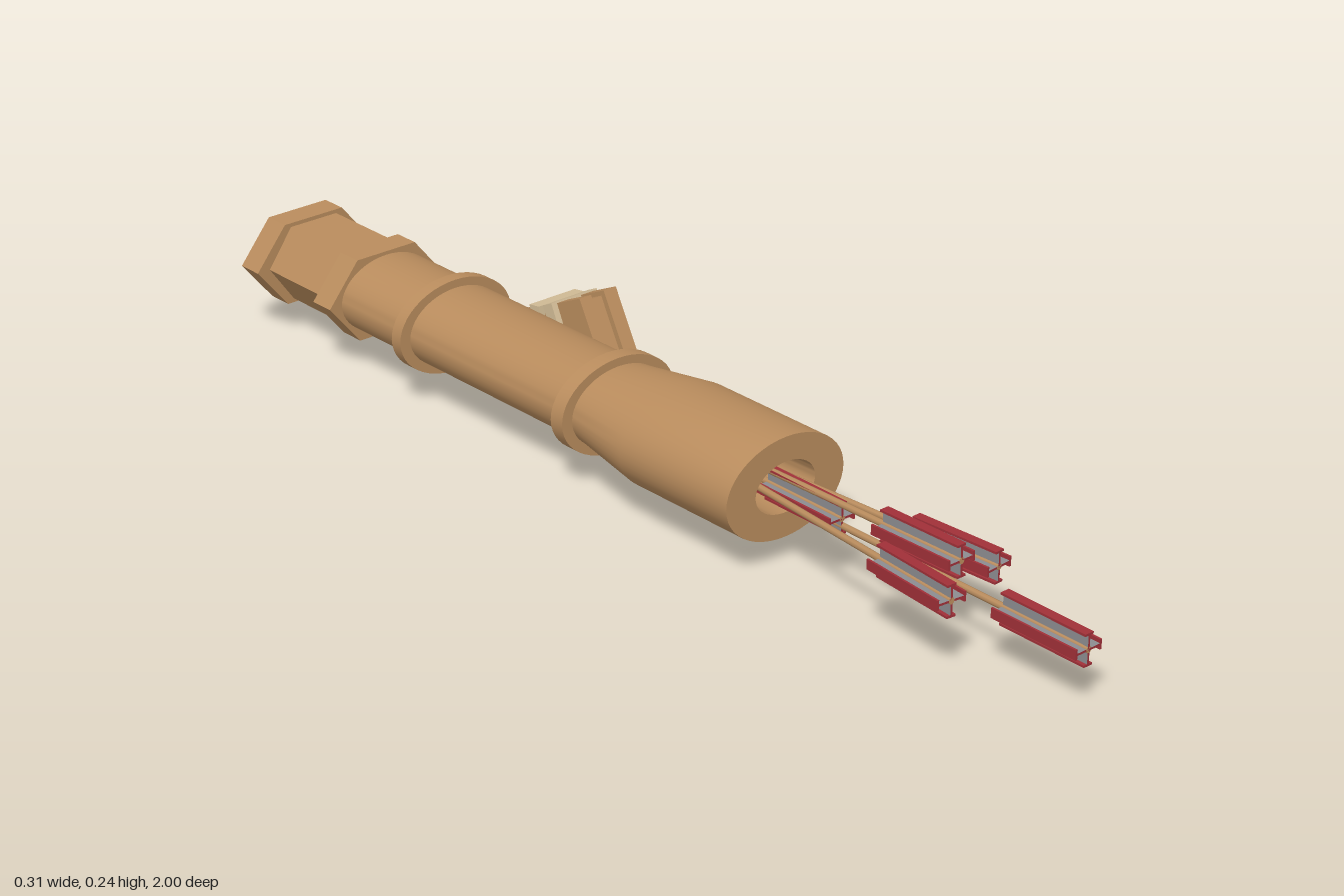
import * as THREE from 'three';
import { toCreasedNormals } from 'three/addons/utils/BufferGeometryUtils.js';

const paint = (name, color) => {
  const m = new THREE.MeshStandardMaterial({ color });
  m.name = name;
  return m;
};

export function createModel() {
  const leather = paint('tan leather', 0xb98c5d);
  const strapMat = paint('pale strap', 0xd2bc96);
  const red = paint('feather red', 0xa03038);
  const grey = paint('feather grey', 0x8c8c90);
  const model = new THREE.Group();

  const add = (parent, name, geo, mat) => {
    const m = new THREE.Mesh(geo, mat);
    m.name = name;
    parent.add(m);
    return m;
  };

  // Flattened turned part along z; profile points are [radius, z]
  const turned = (name, pts, sides, squash = 0.7) => {
    const geo = new THREE.LatheGeometry(pts.map(p => new THREE.Vector2(...p)), sides, Math.PI / 2);
    geo.rotateX(Math.PI / 2).scale(1, squash, 1).translate(-0.0275, 0.141, 0);
    return add(model, name, toCreasedNormals(geo, 0.5), leather);
  };
  const band = (r, z0, z1) => [[0.05, z0], [r, z0], [r, z1], [0.05, z1]];

  // Case body with a flared, hollow mouth
  turned('caseBody', [
    [0, -0.78], [0.103, -0.78], [0.103, -0.08], [0.13, 0.07], [0.13, 0.335],
    [0.066, 0.335], [0.054, 0.0], [0, 0.0],
  ], 48);
  turned('middleRing', band(0.125, -0.555, -0.53), 48);
  turned('frontRing', band(0.125, -0.115, -0.085), 48);

  // Hexagonal tail with a recessed end cap
  turned('hexCollar', band(0.13, -0.78, -0.73), 6);
  turned('hexNeck', band(0.103, -0.955, -0.775), 6, 0.8);
  turned('endCap', [[0, -0.97], [0.078, -0.97], [0.078, -1], [0.13, -1], [0.13, -0.95], [0, -0.95]], 6);

  // Arrows: a shaft and four capped vanes, running from tail point to nock point
  const addArrow = (tail, nock, length) => {
    const from = new THREE.Vector3(...tail), to = new THREE.Vector3(...nock);
    const total = from.distanceTo(to);
    const arrow = new THREE.Group();
    arrow.name = 'arrow';
    arrow.position.copy(from);
    arrow.lookAt(to);
    const shaft = new THREE.CylinderGeometry(0.006, 0.006, total, 8);
    shaft.rotateX(Math.PI / 2).translate(0, 0, total / 2);
    add(arrow, 'shaft', shaft, leather);
    for (let i = 0; i < 4; i++) {
      const vane = new THREE.Group();
      vane.name = 'vane';
      vane.rotation.z = i * Math.PI / 2;
      const plate = new THREE.BoxGeometry(0.004, 0.026, length);
      plate.translate(0, 0.014, total - length / 2);
      add(vane, 'vanePlate', plate, [grey, grey, grey, grey, red, red]);
      const edge = new THREE.BoxGeometry(0.018, 0.004, length);
      edge.translate(0, 0.027, total - length / 2);
      add(vane, 'vaneEdge', edge, red);
      arrow.add(vane);
    }
    model.add(arrow);
  };
  addArrow([-0.035, 0.141, 0.02], [-0.108, 0.144, 0.8], 0.175);
  addArrow([-0.005, 0.135, 0.02], [0.053, 0.127, 0.745], 0.175);
  addArrow([-0.022, 0.15, 0.02], [-0.022, 0.159, 0.735], 0.175);
  addArrow([-0.018, 0.118, 0.02], [-0.011, 0.106, 1.0], 0.18);
  addArrow([-0.02, 0.132, 0.02], [-0.018, 0.127, 0.46], 0.175);

  // Side pouch: slabs of a tilted four-sided outline in (z, y), middle ones sunk
  const outline = [[-0.297, 0.242], [-0.473, 0.16], [-0.425, 0.003], [-0.235, 0.128]];
  const centre = [-0.357, 0.133];
  const slab = (x0, x1, k) => {
    const shape = new THREE.Shape(outline.map(([z, y]) => new THREE.Vector2(
      -(centre[0] + (z - centre[0]) * k), centre[1] + (y - centre[1]) * k)));
    const geo = new THREE.ExtrudeGeometry(shape, { depth: x1 - x0, bevelEnabled: false });
    geo.rotateY(Math.PI / 2).translate(x0, 0, 0);
    add(model, 'pouchSlab', geo, leather);
  };
  slab(0.065, 0.091, 1);
  slab(0.091, 0.12, 0.89);
  slab(0.12, 0.148, 1);

  // Straps around the pouch, given by top and bottom points in (z, y)
  for (const [zt, yt, zb, yb] of [[-0.372, 0.21, -0.308, 0.077], [-0.408, 0.196, -0.383, 0.027]]) {
    const strap = add(model, 'strap',
      new THREE.BoxGeometry(0.104, Math.hypot(zt - zb, yt - yb), 0.026), strapMat);
    strap.position.set(0.105, (yt + yb) / 2, (zt + zb) / 2);
    strap.rotation.x = Math.atan2(zt - zb, yt - yb);
  }
  return model;
}
